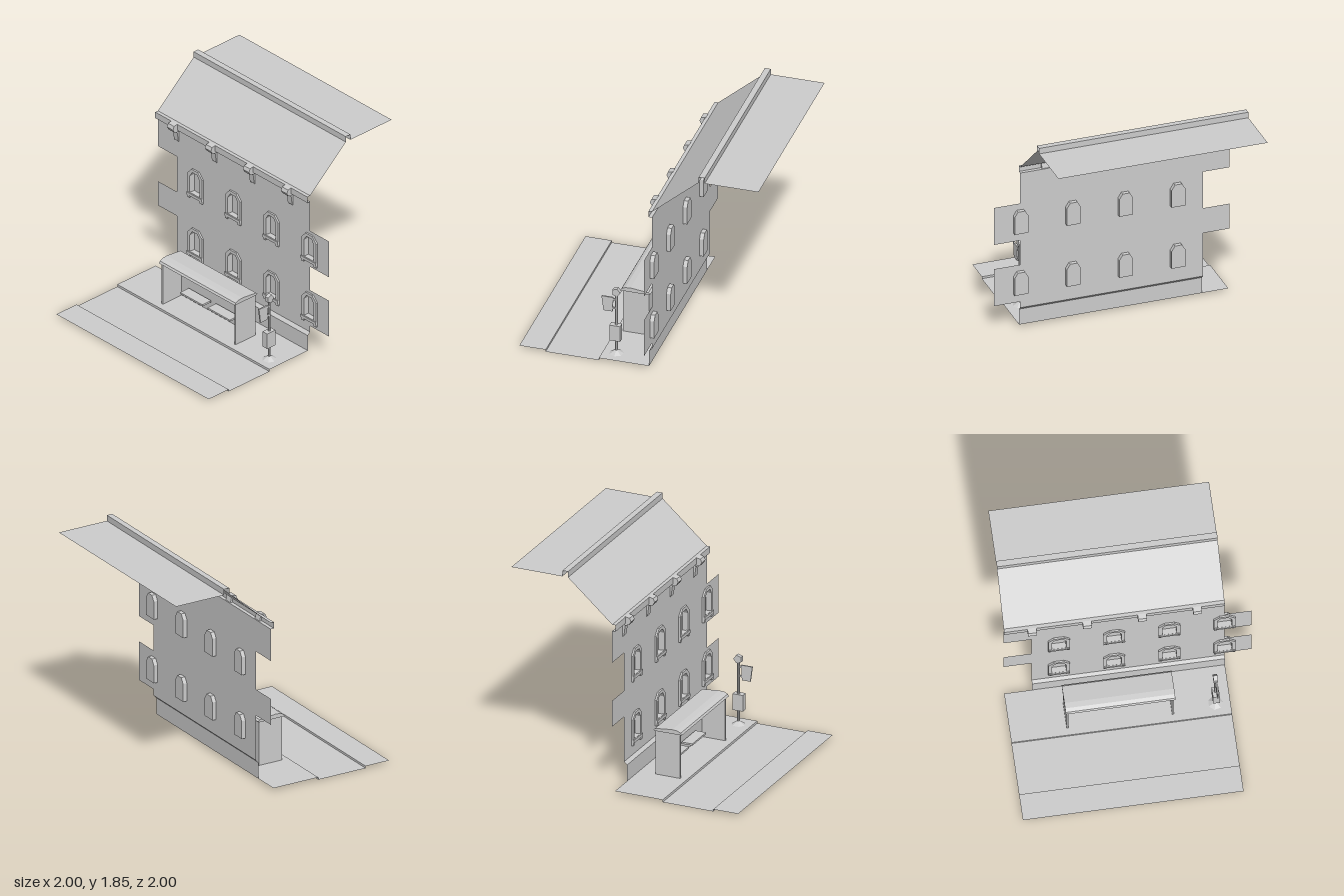
import * as THREE from 'three';

const grey = new THREE.MeshStandardMaterial({ color: 0xcccccc, side: THREE.DoubleSide, flatShading: true });
grey.name = 'plainGrey';

const WALL_X = 0.11, Z_BACK = -1, Z_FRONT = 0.78, WALL_END = -0.775;

function add(parent, name, geometry, x = 0, y = 0, z = 0) {
  const mesh = new THREE.Mesh(geometry, grey);
  mesh.name = name;
  mesh.position.set(x, y, z);
  parent.add(mesh);
  return mesh;
}

function box(parent, name, x0, x1, y0, y1, z0, z1) {
  return add(parent, name, new THREE.BoxGeometry(x1 - x0, y1 - y0, z1 - z0),
    (x0 + x1) / 2, (y0 + y1) / 2, (z0 + z1) / 2);
}

// Open sheet: a profile in the xy plane swept from z0 to z1
function sheet(profile, z0, z1) {
  const pos = [];
  for (let i = 0; i < profile.length - 1; i++) {
    const [ax, ay] = profile[i], [bx, by] = profile[i + 1];
    pos.push(ax, ay, z0, ax, ay, z1, bx, by, z1, ax, ay, z0, bx, by, z1, bx, by, z0);
  }
  const g = new THREE.BufferGeometry();
  g.setAttribute('position', new THREE.Float32BufferAttribute(pos, 3));
  g.computeVertexNormals();
  return g;
}

const vectors = (pts) => pts.map(([x, y]) => new THREE.Vector2(x, y));
const shapeOf = (pts) => new THREE.Shape(vectors(pts));
const solid = (shape, depth) => new THREE.ExtrudeGeometry(shape, { depth, bevelEnabled: false });
// Turns a drawing so its horizontal axis runs along z and its face looks to the street (-x)
const toWall = (geometry) => geometry.rotateY(-Math.PI / 2);

// Chamfered arch, standing on y = 0
const arch = (w, shoulder, top, flat) =>
  [[-w, 0], [w, 0], [w, shoulder], [flat, top], [-flat, top], [-w, shoulder]];
const OPENING = arch(0.058, 0.155, 0.2, 0.03);
const FRAME = arch(0.087, 0.175, 0.228, 0.04);

function windowUnit() {
  const g = new THREE.Group();
  g.name = 'window';
  const frame = shapeOf(FRAME);
  // keep the opening just above the lower edge of the frame
  frame.holes.push(new THREE.Path(vectors(OPENING.map(([u, v]) => [u, Math.max(v, 0.004)]))));
  add(g, 'windowFrame', toWall(solid(frame, 0.015)));
  add(g, 'windowRecess', toWall(sheet([...OPENING, OPENING[0]], 0, -0.035)));
  add(g, 'windowPane', toWall(new THREE.ShapeGeometry(shapeOf(OPENING))), 0.035);
  box(g, 'windowSill', -0.024, 0, -0.024, 0.001, -0.087, 0.087);
  for (const s of [-1, 1]) {
    add(g, 'sillBracket', new THREE.BoxGeometry(0.018, 0.024, 0.026), -0.009, -0.036, s * 0.074);
  }
  return g;
}

function buildFacade() {
  const g = new THREE.Group();
  g.name = 'facade';
  const spots = [];
  for (const y of [0.32, 0.873]) for (let i = 0; i < 4; i++) spots.push([0.78 - i * 0.445, y]);

  // Wall with toothed ends
  const wall = shapeOf([
    [WALL_END, 0.185], [Z_FRONT, 0.185], [Z_FRONT, 0.24], [1, 0.24], [1, 0.575], [Z_FRONT, 0.575],
    [Z_FRONT, 0.795], [1, 0.795], [1, 1.13], [Z_FRONT, 1.13], [Z_FRONT, 1.405], [Z_BACK, 1.405],
    [Z_BACK, 1.13], [WALL_END, 1.13], [WALL_END, 0.8], [Z_BACK, 0.8], [Z_BACK, 0.575], [WALL_END, 0.575]]);
  for (const [z, y] of spots) {
    wall.holes.push(new THREE.Path(vectors(OPENING.map(([u, v]) => [u + z, v + y]))));
    const w = windowUnit();
    w.position.set(WALL_X, y, z);
    g.add(w);
  }
  add(g, 'wall', toWall(new THREE.ShapeGeometry(wall)), WALL_X);

  // Plinth with sloped ledge
  add(g, 'plinth', sheet([[0.085, 0.02], [0.085, 0.16], [WALL_X, 0.185]], WALL_END, Z_FRONT));

  // Cornice and its brackets
  add(g, 'cornice', sheet([[WALL_X, 1.405], [0.08, 1.405], [0.08, 1.46], [WALL_X, 1.46]], Z_BACK, Z_FRONT));
  const head = shapeOf([[0.05, 1.395], [0.09, 1.385], [0.1, 1.405], [0.085, 1.462], [0.045, 1.455], [0.033, 1.425]]);
  const leg = shapeOf([[0.11, 1.28], [0.11, 1.405], [0.075, 1.405], [0.09, 1.37], [0.1, 1.29]]);
  for (let i = 0; i < 4; i++) {
    const z = 0.555 - i * 0.444;
    add(g, 'bracketHead', solid(head, 0.07), 0, 0, z - 0.035);
    add(g, 'bracketLeg', solid(leg, 0.05), 0, 0, z - 0.025);
  }
  return g;
}

function buildShelter() {
  const g = new THREE.Group();
  g.name = 'shelter';
  const z0 = -0.555, z1 = 0.33;
  // Curved roof
  const roof = shapeOf([[-0.295, 0.4], [-0.285, 0.418], [-0.255, 0.432], [-0.21, 0.436],
    [-0.06, 0.42], [-0.045, 0.405], [-0.06, 0.398]]);
  add(g, 'shelterRoof', solid(roof, z1 - z0), 0, 0, z0);
  // End panels and back panel
  for (const z of [z0 + 0.01, z1 - 0.025]) box(g, 'shelterEnd', -0.275, -0.06, 0.02, 0.41, z, z + 0.015);
  box(g, 'shelterBack', -0.07, -0.06, 0.02, 0.41, z0 + 0.02, z1 - 0.02);
  // Bench in two seats
  for (const z of [-0.3, 0.02]) {
    box(g, 'benchSeat', -0.18, -0.085, 0.12, 0.135, z - 0.13, z + 0.13);
    box(g, 'benchSupport', -0.13, -0.07, 0.1, 0.12, z - 0.02, z + 0.02);
  }
  return g;
}

function buildStopPole() {
  const g = new THREE.Group();
  g.name = 'stopPole';
  g.position.set(-0.225, 0.02, 0.66);
  add(g, 'poleBase', new THREE.ConeGeometry(0.06, 0.035, 7), 0, 0.0175, 0);
  add(g, 'pole', new THREE.CylinderGeometry(0.011, 0.011, 0.55, 6), 0, 0.275, 0);
  box(g, 'poleBin', -0.05, 0.04, 0.125, 0.265, -0.025, 0.03);
  const knob = new THREE.CylinderGeometry(0.037, 0.037, 0.035, 5).rotateX(Math.PI / 2).rotateZ(Math.PI / 2);
  add(g, 'poleKnob', knob, 0, 0.567, 0);
  const sign = shapeOf([[-0.105, 0.385], [-0.03, 0.385], [-0.025, 0.515], [-0.122, 0.515]]);
  add(g, 'poleSign', solid(sign, 0.012), 0, 0, 0);
  for (const y of [0.41, 0.49]) box(g, 'signClip', -0.03, -0.005, y, y + 0.015, 0, 0.012);
  return g;
}

export function createModel() {
  const model = new THREE.Group();
  model.name = 'streetFacade';

  // Road between two raised pavements
  add(model, 'farPavement', sheet([[-1, 0.018], [-0.78, 0.018], [-0.78, 0]], Z_BACK, Z_FRONT));
  add(model, 'road', sheet([[-0.78, 0], [-0.335, 0]], Z_BACK, Z_FRONT));
  add(model, 'nearPavement', sheet([[-0.335, 0], [-0.335, 0.02], [0.085, 0.02]], Z_BACK, Z_FRONT));

  model.add(buildFacade());

  // Roof slope, ridge kerb and flat roof
  add(model, 'roofSlope', sheet([[WALL_X, 1.46], [0.5, 1.8]], Z_BACK, Z_FRONT));
  add(model, 'ridgeKerb', sheet([[0.5, 1.8], [0.5, 1.85], [0.55, 1.85], [0.55, 1.8]], Z_BACK, Z_FRONT));
  add(model, 'flatRoof', sheet([[0.55, 1.8], [1, 1.8]], Z_BACK, Z_FRONT));

  model.add(buildShelter(), buildStopPole());
  return model;
}
